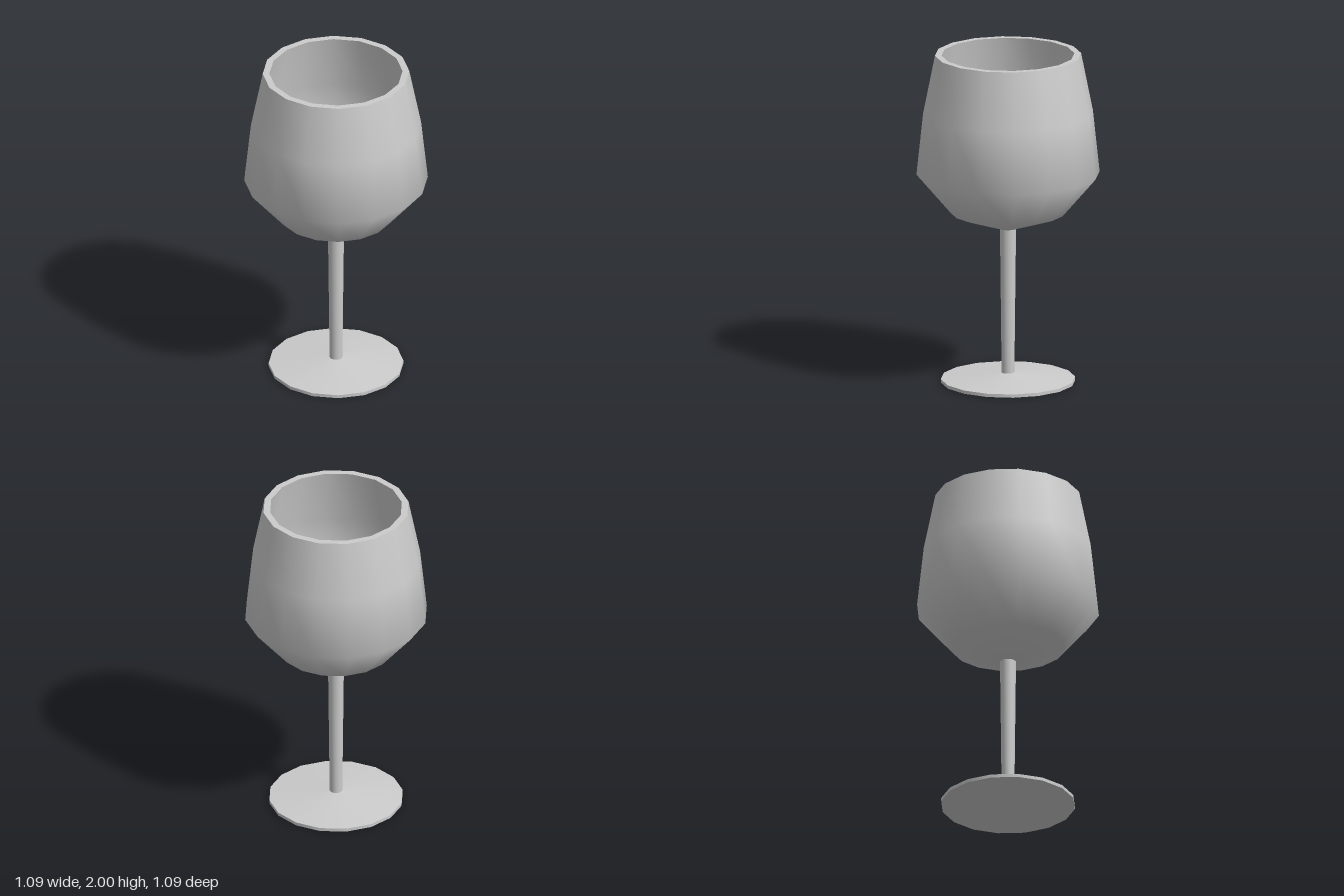
import * as THREE from 'three';

const SIDES = 16;

export function createModel() {
  const group = new THREE.Group();
  const material = new THREE.MeshStandardMaterial({ color: 0xcccccc });

  // Revolve each profile separately, so edges between profiles stay sharp.
  // Profiles run upward for outer faces and downward for inner faces.
  const part = (name, surfaces) => {
    const g = new THREE.Group();
    g.name = name;
    for (const [label, profile] of Object.entries(surfaces)) {
      const points = profile.map(([r, y]) => new THREE.Vector2(r, y));
      const mesh = new THREE.Mesh(new THREE.LatheGeometry(points, SIDES), material);
      mesh.name = label;
      g.add(mesh);
    }
    group.add(g);
  };

  // Foot: flat disc with a thin edge and a shallow conical top
  part('foot', {
    footUnderside: [[0, 0], [0.4, 0]],
    footEdge: [[0.4, 0], [0.4, 0.02]],
    footTop: [[0.4, 0.02], [0.038, 0.055]],
  });

  // Stem: widens slightly towards the bowl
  part('stem', {
    stemSide: [[0.038, 0.055], [0.048, 0.935]],
  });

  // Bowl: outer wall, flat rim and hollow inside
  part('bowl', {
    bowlOutside: [[0.048, 0.935], [0.34, 1.035], [0.545, 1.275], [0.505, 1.65], [0.435, 2]],
    bowlRim: [[0.435, 2], [0.395, 2]],
    bowlInside: [[0.395, 2], [0.465, 1.65], [0.502, 1.285], [0.32, 1.07], [0, 0.97]],
  });

  return group;
}
